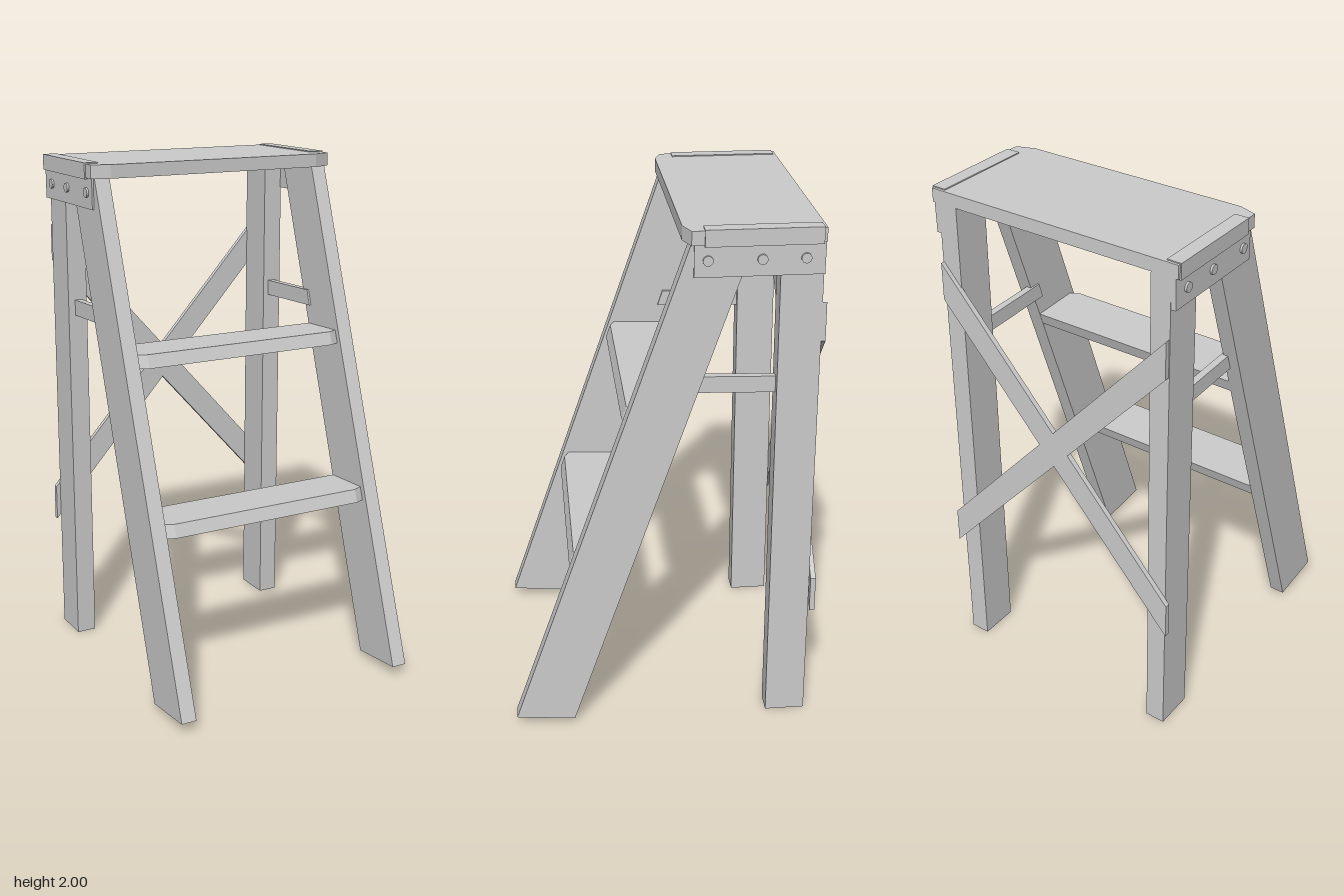
import * as THREE from 'three';

const material = new THREE.MeshStandardMaterial({ color: 0xcccccc, flatShading: true });

function add(group, name, geometry) {
  const mesh = new THREE.Mesh(geometry, material);
  mesh.name = name;
  group.add(mesh);
  return mesh;
}

function extrude(points, depth) {
  const shape = new THREE.Shape(points.map(([a, b]) => new THREE.Vector2(a, b)));
  return new THREE.ExtrudeGeometry(shape, { depth, bevelEnabled: false });
}

// Side profile of [z, y] points, spanning x0 to x1
function sidePrism(points, x0, x1) {
  return extrude(points, x1 - x0).rotateY(-Math.PI / 2).translate(x1, 0, 0);
}

// Board seen from above with clipped front corners
function board(halfWidth, back, front, clipX, clipZ, y0, y1) {
  const plan = [
    [-halfWidth, back], [halfWidth, back], [halfWidth, front - clipZ],
    [halfWidth - clipX, front], [-halfWidth + clipX, front], [-halfWidth, front - clipZ],
  ];
  return extrude(plan, y1 - y0).rotateX(Math.PI / 2).translate(0, y1, 0);
}

export function createModel() {
  const model = new THREE.Group();
  model.name = 'stepLadder';

  // Top platform
  add(model, 'topBoard', board(0.515, -0.535, -0.05, 0.07, 0.025, 1.945, 1.996));

  // Parts repeated on both sides
  for (const [side, s] of [['left', 1], ['right', -1]]) {
    const mirrored = (points, inner, outer) =>
      sidePrism(points, Math.min(s * inner, s * outer), Math.max(s * inner, s * outer));

    add(model, side + 'FrontRail', mirrored(
      [[0.585, 0.042], [-0.075, 1.945], [-0.29, 1.945], [0.36, 0.02]], 0.44, 0.5));
    add(model, side + 'BackLeg', mirrored(
      [[-0.4, 0], [-0.385, 1.945], [-0.535, 1.945], [-0.553, 0]], 0.41, 0.488));
    add(model, side + 'SideSpreader', mirrored(
      [[-0.06, 1.386], [-0.08, 1.447], [-0.4, 1.437], [-0.4, 1.375]], 0.432, 0.46));
    add(model, side + 'EndCap', mirrored(
      [[-0.12, 1.94], [-0.12, 2], [-0.525, 2], [-0.525, 1.94]], 0.464, 0.52));
    add(model, side + 'Bracket', mirrored(
      [[-0.085, 1.945], [-0.085, 1.83], [-0.535, 1.83], [-0.535, 1.945]], 0.485, 0.507));

    // Bolts through the bracket
    for (const z of [-0.132, -0.318, -0.468]) {
      const bolt = new THREE.CylinderGeometry(0.018, 0.018, 0.02, 16).rotateZ(Math.PI / 2);
      add(model, side + 'Bolt', bolt.translate(s * 0.505, 1.89, z));
    }
  }

  // Steps, with front faces sloping like the rails and a slight backward tilt
  for (const [name, front, y0, y1] of [['lowerStep', 0.345, 0.67, 0.72], ['upperStep', 0.14, 1.268, 1.318]]) {
    const step = board(0.441, front - 0.215, front, 0.04, 0.02, y0, y1);
    const p = step.attributes.position;
    for (let i = 0; i < p.count; i++) {
      const y = p.getY(i), z = p.getZ(i);
      p.setZ(i, z + (y1 - y) * 0.35);
      p.setY(i, y - (front - z) * 0.04);
    }
    step.computeVertexNormals();
    add(model, name, step);
  }

  // Crossed braces following the lean of the back legs
  for (const s of [1, -1]) {
    const brace = extrude([[-0.505, 0.47], [0.485, 1.575], [0.485, 1.72], [-0.505, 0.612]], 0.02);
    if (s < 0) brace.rotateY(Math.PI).translate(0, 0, 0.02);
    const p = brace.attributes.position;
    for (let i = 0; i < p.count; i++) {
      p.setZ(i, p.getZ(i) - 0.576 + 0.0125 * p.getY(i) + s * 0.001);
    }
    brace.computeVertexNormals();
    add(model, s > 0 ? 'risingBrace' : 'fallingBrace', brace);
  }

  return model;
}
